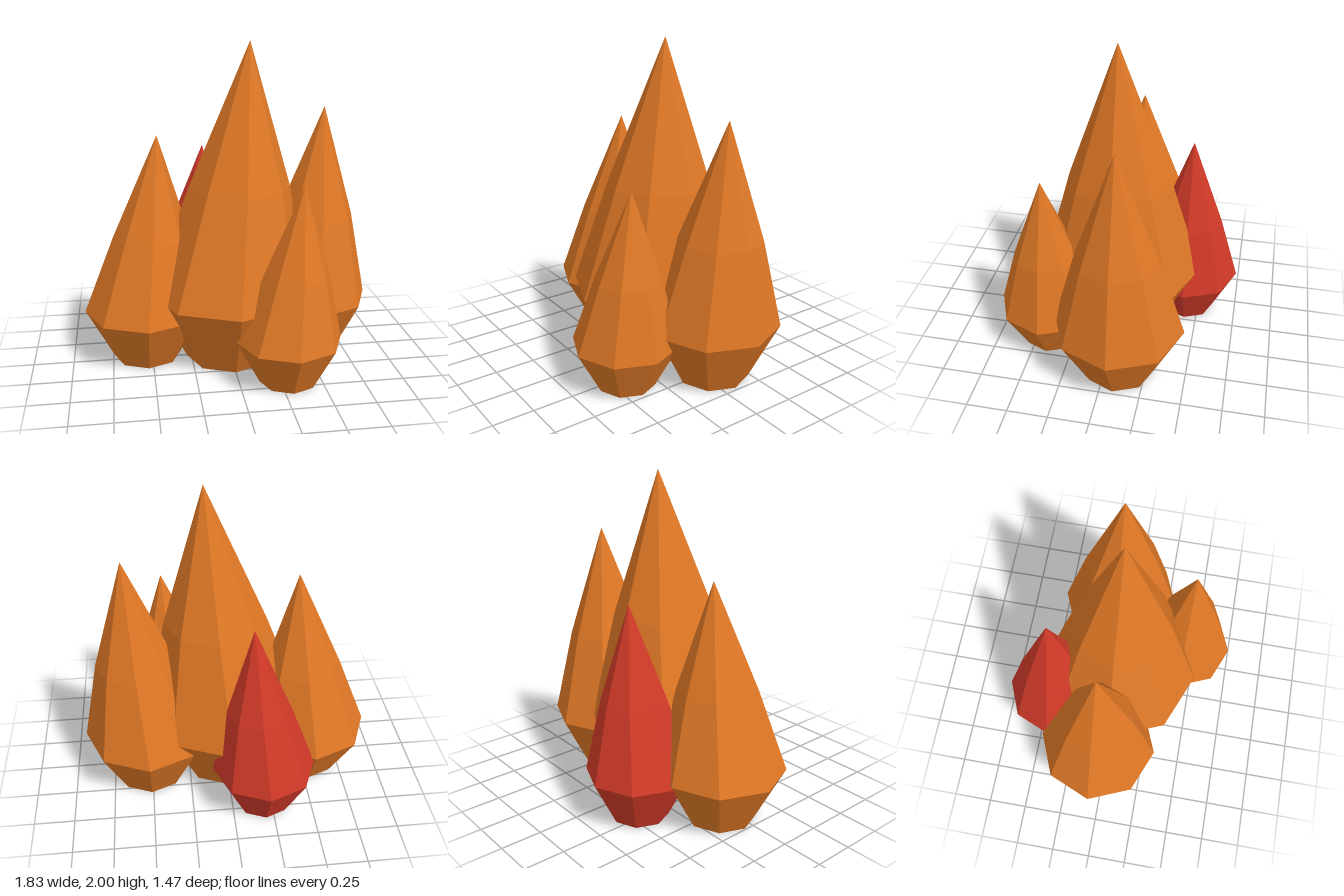
import * as THREE from 'three';

const orange = new THREE.MeshStandardMaterial({ color: 0xe07826, flatShading: true, side: THREE.DoubleSide });
orange.name = 'orange';
const red = new THREE.MeshStandardMaterial({ color: 0xd23a28, flatShading: true, side: THREE.DoubleSide });
red.name = 'red';

// Shared crystal rings: height, radius and sideways lean, as fractions of height and radius
const rings = [
  { y: 0, r: 0.55, lean: 0 },
  { y: 0.222, r: 1, lean: 0 },
  { y: 0.56, r: 0.62, lean: 0.12 },
  { y: 1, r: 0, lean: 0.24 },
];

// Eight-sided crystal, open underneath, with its tip leaning to +x
function crystal(name, material, x, z, radius, height) {
  const profile = rings.map((k) => new THREE.Vector2(k.r * radius, k.y * height));
  const geometry = new THREE.LatheGeometry(profile, 8);
  const pos = geometry.attributes.position;
  for (let i = 0; i < pos.count; i++) {
    pos.setX(i, pos.getX(i) + rings[i % rings.length].lean * radius);
  }
  geometry.computeVertexNormals();
  const mesh = new THREE.Mesh(geometry, material);
  mesh.name = name;
  mesh.position.set(x, 0, z);
  return mesh;
}

export function createModel() {
  const group = new THREE.Group();
  group.name = 'crystalCluster';
  group.add(
    crystal('mainCrystal', orange, 0, 0, 0.51, 2),
    crystal('leftCrystal', orange, 0.51, -0.08, 0.4, 1.59),
    crystal('rightCrystal', orange, -0.53, -0.06, 0.385, 1.44),
    crystal('frontCrystal', orange, 0.3, 0.41, 0.32, 1.22),
    crystal('backCrystal', red, -0.2, -0.42, 0.32, 1.3),
  );
  return group;
}
